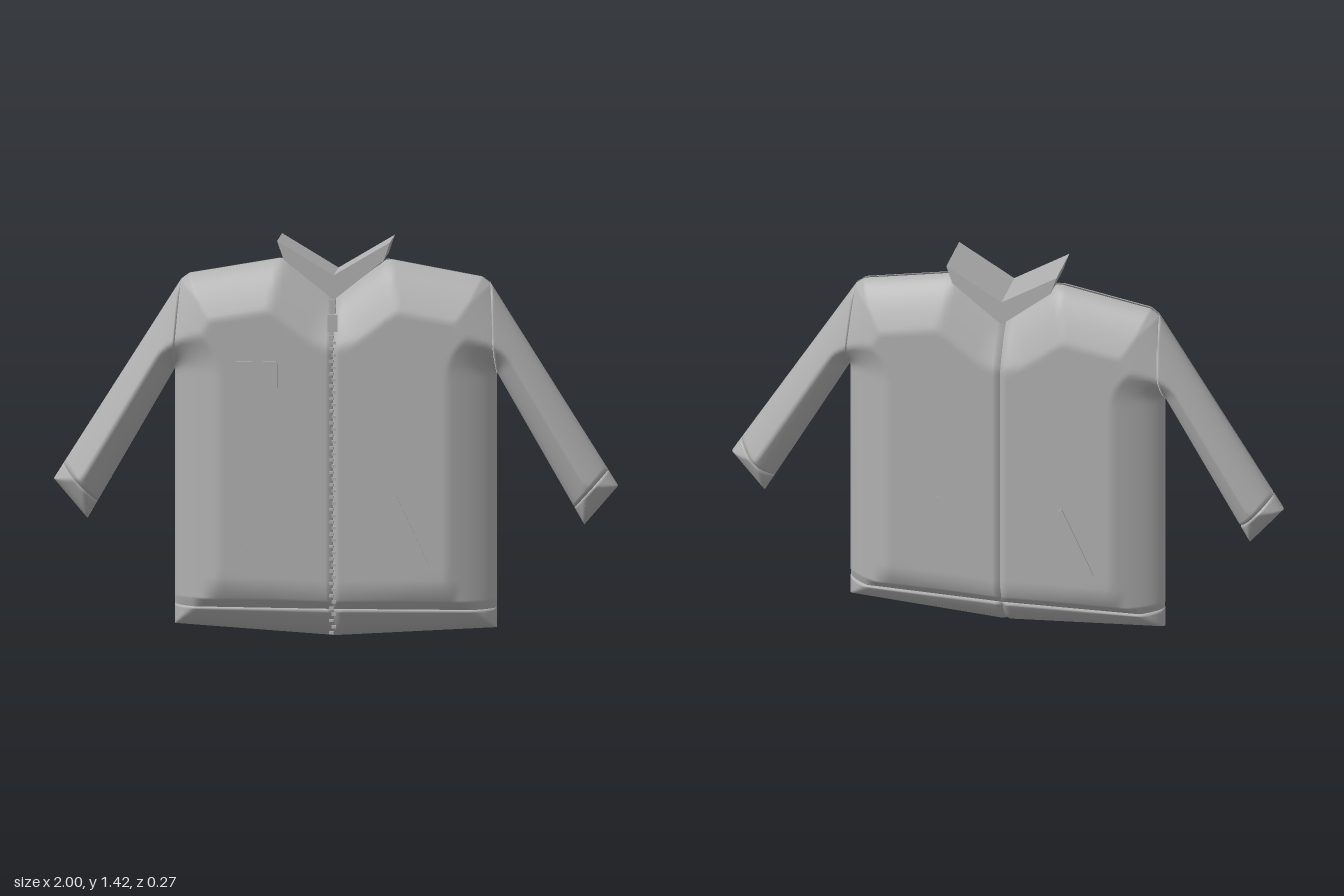
import * as THREE from 'three';

const grey = new THREE.MeshStandardMaterial({ color: 0xb0b0b0, side: THREE.DoubleSide });
grey.name = 'grey cloth';

// right half of the jacket outline, collar notch round to hem centre
const outline = [[0, 1.21], [0.185, 1.35], [0.52, 1.29], [0.55, 1.265], [1, 0.55],
  [0.88, 0.41], [0.57, 0.95], [0.57, 0.04], [0, 0.004]];
const DEPTH = 0.13, INSET = 0.165;
const lerp = THREE.MathUtils.lerp;

function edgeDistance(x, y) {
  let best = INSET;
  for (const m of [1, -1]) {
    for (let i = 0; i < outline.length - 1; i++) {
      const ax = outline[i][0] * m, ay = outline[i][1];
      const dx = outline[i + 1][0] * m - ax, dy = outline[i + 1][1] - ay;
      const t = THREE.MathUtils.clamp(((x - ax) * dx + (y - ay) * dy) / (dx * dx + dy * dy), 0, 1);
      best = Math.min(best, Math.hypot(x - ax - dx * t, y - ay - dy * t));
    }
  }
  return best;
}

// cloth thickness grows inward from the outline to a flat middle
const thickness = (x, y) => DEPTH * Math.pow(edgeDistance(x, y) / INSET, 0.55);

const samples = n => [0, 0.012, ...Array.from({ length: n - 1 }, (_, i) => (i + 1) / n), 0.988, 1];

// puffed panel from a map (s, t) -> (x, y); edges named in seams are sunk
function panel(map, ns, nt, seams, sx, sz) {
  const S = samples(ns), T = samples(nt), pos = [], idx = [];
  for (const t of T) {
    for (const s of S) {
      const [x, y] = map(s, t);
      let z = thickness(x, y);
      const onSeam = (s === 0 && seams.includes('s0')) || (s === 1 && seams.includes('s1')) ||
        (t === 0 && seams.includes('t0')) || (t === 1 && seams.includes('t1'));
      if (onSeam) z = Math.max(0, z - 0.012);
      pos.push(x * sx, y, z * sz);
    }
  }
  const w = S.length;
  for (let j = 0; j < T.length - 1; j++) {
    for (let i = 0; i < w - 1; i++) {
      const a = j * w + i, b = a + 1, c = a + w, d = c + 1;
      if (sx * sz > 0) idx.push(a, b, d, a, d, c);
      else idx.push(a, d, b, a, c, d);
    }
  }
  const g = new THREE.BufferGeometry();
  g.setAttribute('position', new THREE.Float32BufferAttribute(pos, 3));
  g.setIndex(idx);
  g.computeVertexNormals();
  return g;
}

const easeOut = s => 1 - (1 - s) * (1 - s);
const easeBoth = t => 0.5 - 0.5 * Math.cos(Math.PI * t);

function topLine(x) {
  if (x < 0.185) return lerp(1.21, 1.35, x / 0.185);
  if (x < 0.52) return lerp(1.35, 1.29, (x - 0.185) / 0.335);
  return lerp(1.29, 1.268, (x - 0.52) / 0.028);
}

function bodyMap(s, t) {
  const u = easeOut(s), v = easeOut(t);
  const y = lerp(0.11, topLine(u * 0.548), v);
  const side = y < 0.95 ? 0.57 : lerp(0.57, 0.548, (y - 0.95) / 0.318);
  return [u * side, y];
}

function hemMap(s, t) {
  const x = easeOut(s) * 0.57;
  return [x, lerp(0.004 + 0.036 * x / 0.57, 0.11, t * t)];
}

function quadMap(a, b, c, d, sWarp) {
  return (s, t) => {
    const u = sWarp(s), v = easeBoth(t);
    return [0, 1].map(k => lerp(lerp(a[k], b[k], u), lerp(d[k], c[k], u), v));
  };
}
const cuffLow = [0.845, 0.471], cuffHigh = [0.965, 0.606];
const sleeveMap = quadMap([0.57, 0.95], cuffLow, cuffHigh, [0.548, 1.268], s => s);
const cuffMap = quadMap(cuffLow, [0.88, 0.41], [1, 0.55], cuffHigh, easeOut);

export function createModel() {
  const model = new THREE.Group();
  model.name = 'jacket';
  const add = (name, geometry, parent = model) => {
    const mesh = new THREE.Mesh(geometry, grey);
    mesh.name = name;
    parent.add(mesh);
    return mesh;
  };

  // cloth panels, mirrored left/right and front/back
  for (const sx of [1, -1]) {
    for (const sz of [1, -1]) {
      const label = (sx > 0 ? 'left' : 'right') + (sz > 0 ? 'Front' : 'Back');
      add(label + 'Body', panel(bodyMap, 44, 64, ['s0', 't0'], sx, sz));
      add(label + 'Hem', panel(hemMap, 44, 14, ['s0', 't1'], sx, sz));
      add(label + 'Sleeve', panel(sleeveMap, 36, 28, ['s0', 's1'], sx, sz));
      add(label + 'Cuff', panel(cuffMap, 12, 28, ['s0'], sx, sz));

      // slanted pocket opening
      const pocket = add(label + 'Pocket', new THREE.BoxGeometry(0.016, 0.275, 0.008));
      pocket.position.set(0.277 * sx, 0.395, DEPTH * sz);
      pocket.rotation.z = -0.435 * -sx;
    }
  }

  // folded collar, a V-shaped slab running front to back
  const v = new THREE.Shape();
  v.moveTo(0, 1.3);
  v.lineTo(-0.2, 1.42);
  v.lineTo(-0.178, 1.355);
  v.lineTo(0, 1.212);
  v.lineTo(0.178, 1.355);
  v.lineTo(0.2, 1.42);
  v.closePath();
  add('collar', new THREE.ExtrudeGeometry(v, { depth: 0.195, bevelEnabled: false })).position.z = -0.1;

  // zip: small teeth alternating either side of the front opening
  const zip = new THREE.Group();
  zip.name = 'zip';
  model.add(zip);
  const toothShape = new THREE.BoxGeometry(0.016, 0.01, 0.012);
  for (let i = 0; i < 54; i++) {
    add('tooth', toothShape, zip).position.set(i % 2 ? 0.004 : -0.004, 0.03 + i * 0.022, 0.128);
  }
  add('slider', new THREE.BoxGeometry(0.022, 0.05, 0.014), zip).position.set(0, 1.195, 0.13);
  add('pullTab', new THREE.BoxGeometry(0.036, 0.06, 0.01), zip).position.set(0, 1.135, 0.134);

  // chest patch with rounded corners
  const w = 0.077, h = 0.052, r = 0.012;
  const p = new THREE.Shape();
  p.moveTo(-w + r, -h);
  p.lineTo(w - r, -h);
  p.quadraticCurveTo(w, -h, w, -h + r);
  p.lineTo(w, h - r);
  p.quadraticCurveTo(w, h, w - r, h);
  p.lineTo(-w + r, h);
  p.quadraticCurveTo(-w, h, -w, h - r);
  p.lineTo(-w, -h + r);
  p.quadraticCurveTo(-w, -h, -w + r, -h);
  add('chestPatch', new THREE.ExtrudeGeometry(p, { depth: 0.012, bevelEnabled: false }))
    .position.set(-0.273, 0.943, 0.127);

  return model;
}
